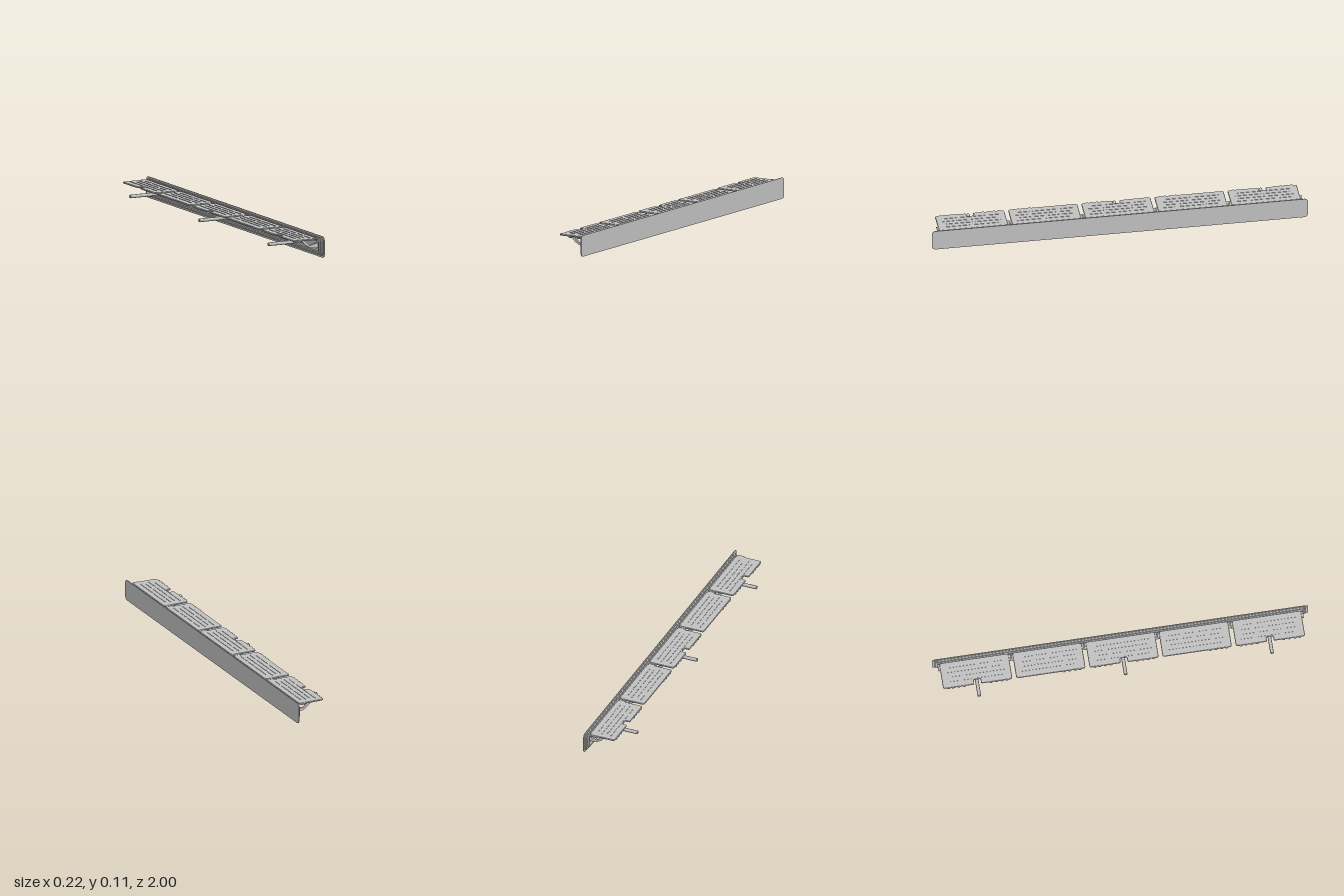
import * as THREE from 'three';

const steel = new THREE.MeshStandardMaterial({ color: 0xc0c0c0 });
steel.name = 'light grey';

const PITCH = 0.389, FLAP_LENGTH = 0.368;

// Rounded rectangle outline centred on (cx, cy)
function roundedRect(w, h, r, cx = 0, cy = 0, Type = THREE.Shape) {
  const s = new Type(), x = w / 2, y = h / 2;
  s.absarc(cx + x - r, cy + y - r, r, 0, Math.PI / 2);
  s.absarc(cx - x + r, cy + y - r, r, Math.PI / 2, Math.PI);
  s.absarc(cx - x + r, cy - y + r, r, Math.PI, Math.PI * 1.5);
  s.absarc(cx + x - r, cy - y + r, r, Math.PI * 1.5, Math.PI * 2);
  s.closePath();
  return s;
}

function add(parent, geometry, name, x = 0, y = 0, z = 0) {
  const mesh = new THREE.Mesh(geometry, steel);
  mesh.name = name;
  mesh.position.set(x, y, z);
  parent.add(mesh);
  return mesh;
}

// Upright slab lying in the z/y plane, from x0 to x1, optionally hollow
function slab(parent, name, length, height, r, x0, x1, wall = 0) {
  const shape = roundedRect(length, height, r);
  if (wall) {
    shape.holes.push(roundedRect(length - 2 * wall, height - 2 * wall, Math.max(r - wall, 0.006), 0, 0, THREE.Path));
  }
  const g = new THREE.ExtrudeGeometry(shape, { depth: x1 - x0, bevelEnabled: false, curveSegments: 6 });
  g.rotateY(Math.PI / 2);
  return add(parent, g, name, x0, 0.057, 0);
}

// Flap board outline: x across, y along the length, with an optional notch
function flapShape(notched) {
  const a = -0.054, b = 0.085, L = FLAP_LENGTH / 2 - 0.002, r = 0.01;
  const s = new THREE.Shape();
  s.moveTo(a + r, -L);
  s.lineTo(b - r, -L);
  s.quadraticCurveTo(b, -L, b, -L + r);
  s.lineTo(b, L - r);
  s.quadraticCurveTo(b, L, b - r, L);
  s.lineTo(a + r, L);
  s.quadraticCurveTo(a, L, a, L - r);
  if (notched) {
    s.lineTo(a, 0.026);
    s.quadraticCurveTo(a, 0.02, a + 0.006, 0.02);
    s.lineTo(-0.036, 0.02);
    s.quadraticCurveTo(-0.028, 0.02, -0.028, 0.012);
    s.lineTo(-0.028, -0.012);
    s.quadraticCurveTo(-0.028, -0.02, -0.036, -0.02);
    s.lineTo(a + 0.006, -0.02);
    s.quadraticCurveTo(a, -0.02, a, -0.026);
  }
  s.lineTo(a, -L + r);
  s.quadraticCurveTo(a, -L, a + r, -L);
  return s;
}

function makeFlap(index, notched) {
  const flap = new THREE.Group();
  flap.name = 'flap' + (index + 1);

  const board = new THREE.ExtrudeGeometry(flapShape(notched), {
    depth: 0.004, bevelEnabled: true, bevelThickness: 0.002, bevelSize: 0.002, bevelSegments: 1, curveSegments: 4,
  });
  board.rotateX(-Math.PI / 2);
  add(flap, board, 'flapBoard', 0, 0.096, 0);

  // Raised tread ribs, in broken rows
  const rib = new THREE.BoxGeometry(0.004, 0.003, 0.062);
  [-0.022, 0.004, 0.03, 0.056].forEach((x, row) => {
    for (let i = 0; i < 4; i++) {
      add(flap, rib, 'treadRib', x, 0.1025, (i - 1.5) * 0.076 + (row % 2 ? 0.008 : -0.008));
    }
  });

  // Small rounded grips on the free edge
  const grip = new THREE.CylinderGeometry(0.011, 0.011, 0.005, 12);
  const sides = notched ? [-1, 1] : [1];
  for (const side of sides) {
    for (const z of [0.07, 0.1, 0.13, 0.155]) add(flap, grip, 'edgeGrip', -0.05, 0.098, side * z);
  }

  // Hinge lugs on both ends
  for (const side of [-1, 1]) {
    add(flap, new THREE.BoxGeometry(0.036, 0.005, 0.012), 'hingeLug', 0.064, 0.098, side * (FLAP_LENGTH / 2 + 0.003));
  }
  return flap;
}

// Curved bracket between the face plate and a flap
function bracketGeometry(width) {
  const s = new THREE.Shape();
  s.moveTo(-0.006, 0.095);
  s.lineTo(-0.004, 0.09);
  s.quadraticCurveTo(0.012, 0.085, 0.024, 0.07);
  s.quadraticCurveTo(0.036, 0.058, 0.056, 0.05);
  s.quadraticCurveTo(0.074, 0.047, 0.102, 0.047);
  s.lineTo(0.102, 0.07);
  s.lineTo(0.085, 0.07);
  s.quadraticCurveTo(0.066, 0.066, 0.055, 0.062);
  s.quadraticCurveTo(0.042, 0.068, 0.03, 0.089);
  s.lineTo(0.028, 0.095);
  s.closePath();
  const g = new THREE.ExtrudeGeometry(s, { depth: width, bevelEnabled: false, curveSegments: 6 });
  g.translate(0, 0, -width / 2);
  return g;
}

function makeRod(z) {
  const rod = new THREE.Group();
  rod.name = 'mountingRod';
  // Profile along the rod: chamfered tip, shaft, collar, flared stem
  const profile = [
    [0, -0.11], [0.008, -0.11], [0.0095, -0.108], [0.0095, 0.03], [0.008, 0.03], [0.008, 0.038],
    [0.0095, 0.038], [0.0095, 0.042], [0.005, 0.05], [0.006, 0.065], [0.01, 0.08], [0.011, 0.102], [0, 0.102],
  ].map(([r, x]) => new THREE.Vector2(r, x));
  const g = new THREE.LatheGeometry(profile, 20).toNonIndexed();
  g.computeVertexNormals();
  g.rotateZ(-Math.PI / 2);
  add(rod, g, 'rodShaft', 0, 0.057, z);
  return rod;
}

export function createModel() {
  const model = new THREE.Group();
  model.name = 'flapRail';

  // Face plate with a stepped, hollow rim behind it
  slab(model, 'facePlate', 2, 0.113, 0.02, 0.104, 0.108);
  slab(model, 'rimBase', 1.975, 0.094, 0.018, 0.1, 0.1045);
  slab(model, 'outerRim', 1.965, 0.09, 0.018, 0.095, 0.1005, 0.012);
  slab(model, 'innerRim', 1.945, 0.074, 0.016, 0.088, 0.1005, 0.009);

  const bracket = bracketGeometry(0.012);
  for (let i = 0; i < 5; i++) {
    const z = (i - 2) * PITCH - 0.003;
    const notched = i % 2 === 0;
    const flap = makeFlap(i, notched);
    flap.position.z = z;
    model.add(flap);
    for (const side of [-1, 1]) add(model, bracket, 'flapBracket', 0, 0, z + side * 0.155);
    if (notched) model.add(makeRod(z));
  }
  return model;
}
